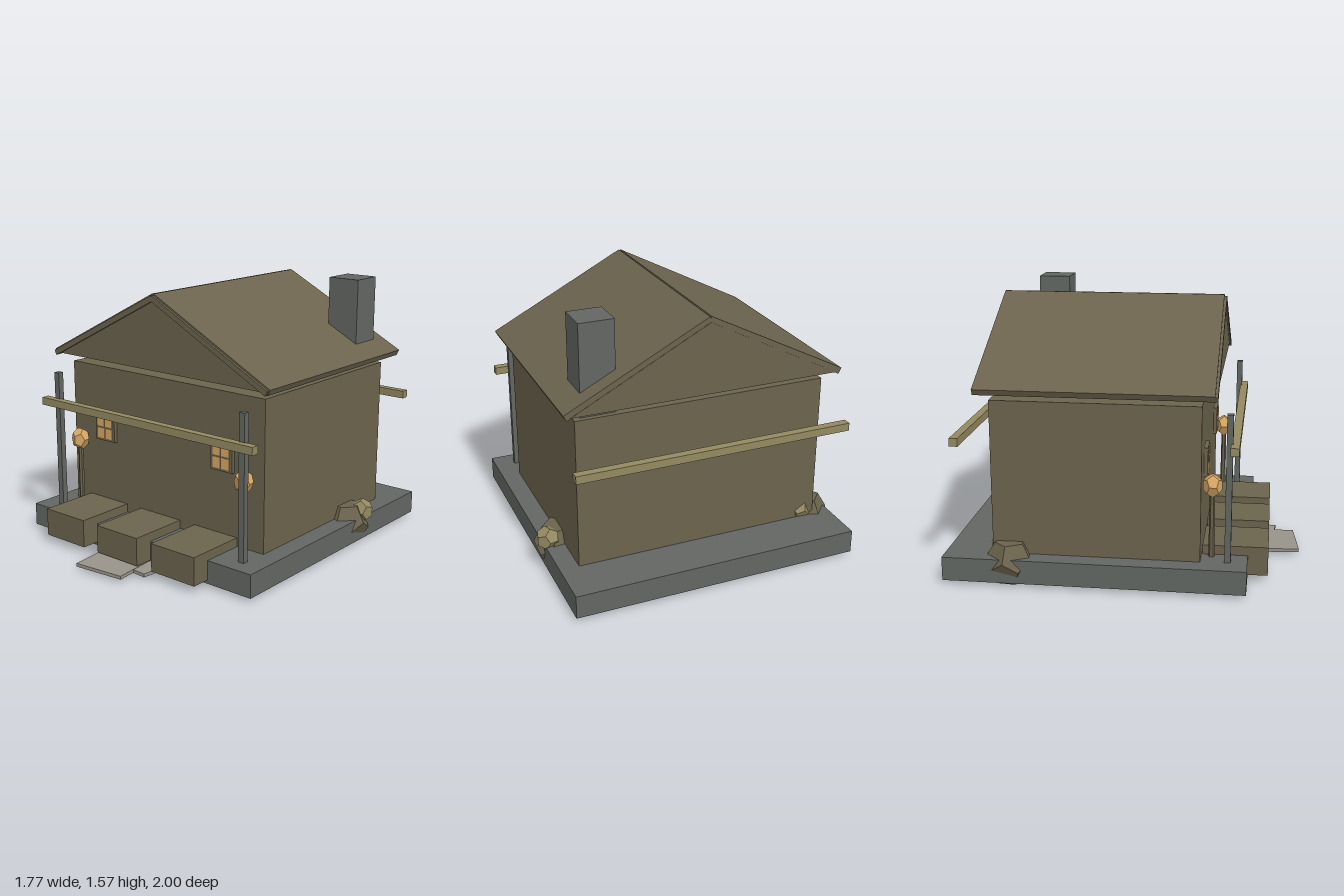
import * as THREE from 'three';

const mat = (name, color) => {
  const m = new THREE.MeshStandardMaterial({ color, flatShading: true });
  m.name = name;
  return m;
};

export function createModel() {
  const wood = mat('brown wood', 0x6b634d);
  const stone = mat('grey stone', 0x626661);
  const pale = mat('pale wood', 0x938960);
  const glow = mat('lamp amber', 0xd8a865);
  const paving = mat('pale paving', 0x98938a);

  const model = new THREE.Group();
  model.name = 'house';
  const CX = -0.007; // centre line of the house

  const add = (name, geometry, material, x = 0, y = 0, z = 0, parent = model) => {
    const mesh = new THREE.Mesh(geometry, material);
    mesh.name = name;
    mesh.position.set(x, y, z);
    parent.add(mesh);
    return mesh;
  };
  // box given by its limits on each axis
  const box = (name, material, x0, x1, y0, y1, z0, z1, parent) =>
    add(name, new THREE.BoxGeometry(x1 - x0, y1 - y0, z1 - z0), material,
      (x0 + x1) / 2, (y0 + y1) / 2, (z0 + z1) / 2, parent);

  // base and walls
  box('foundation', stone, -0.857, 0.843, 0.028, 0.165, -1, 0.7);
  box('walls', wood, -0.745, 0.731, 0.026, 1.05, -0.73, 0.44);

  // roof: two sloping slabs, front edge boards and thin gables
  const roof = new THREE.Group();
  roof.name = 'roof';
  roof.position.set(CX, 0, 0);
  model.add(roof);
  const slope = Math.atan2(0.422, 0.817);
  const slopedBoard = (name, side, length, thick, drop, z0, z1) => {
    const along = 0.46, down = drop + thick / 2;
    const board = add(name, new THREE.BoxGeometry(length, thick, z1 - z0), wood,
      side * (0.004 + Math.cos(slope) * along - Math.sin(slope) * down),
      1.548 - Math.sin(slope) * along - Math.cos(slope) * down,
      (z0 + z1) / 2, roof);
    board.rotation.z = -side * slope;
  };
  for (const side of [-1, 1]) {
    slopedBoard('roofSlab', side, 0.918, 0.038, 0, -0.8, 0.512);
    slopedBoard('edgeBoard', side, 0.91, 0.032, 0.009, 0.512, 0.527);
  }
  const triangle = new THREE.Shape();
  triangle.moveTo(-0.785, 1.107);
  triangle.lineTo(0.785, 1.107);
  triangle.lineTo(0, 1.515);
  triangle.closePath();
  const gable = new THREE.ExtrudeGeometry(triangle, { depth: 0.015, bevelEnabled: false });
  add('frontGable', gable, wood, 0, 0, 0.5, roof);
  add('backGable', gable, wood, 0, 0, -0.802, roof);

  box('chimney', stone, 0.488, 0.688, 1.0, 1.574, -0.7, -0.505);

  // porch posts, long rails
  for (const x of [-0.72, 0.704]) box('porchPost', stone, x - 0.019, x + 0.019, 0.1, 1.007, 0.573, 0.608);
  for (const z of [0.621, -0.916]) box('rail', pale, -0.816, 0.803, 0.8, 0.846, z - 0.024, z + 0.024);

  // windows with four lit panes
  for (const x of [-0.463, 0.446]) {
    const win = new THREE.Group();
    win.name = 'window';
    win.position.set(x, 0.678, 0);
    model.add(win);
    box('windowFrame', wood, -0.077, 0.077, -0.084, 0.084, 0.43, 0.463, win);
    for (const sx of [-1, 1]) for (const sy of [-1, 1])
      add('pane', new THREE.BoxGeometry(0.056, 0.064, 0.006), glow, sx * 0.032, sy * 0.037, 0.464, win);
  }

  // lamp posts with faceted lanterns, and small footings under the base
  for (const x of [-0.647, 0.633]) {
    add('lampPost', new THREE.CylinderGeometry(0.015, 0.018, 0.42, 6), wood, x, 0.34, 0.497);
    const lantern = add('lantern', new THREE.DodecahedronGeometry(0.06), glow, x, 0.582, 0.497);
    lantern.scale.set(0.92, 1.15, 0.95);
    lantern.rotation.y = 0.1;
    box('lampFooting', wood, x - 0.016, x + 0.016, 0.02, 0.06, 0.395, 0.427);
  }

  // three crates along the front
  for (const x of [-0.463, -0.035, 0.39]) box('crate', wood, x - 0.157, x + 0.157, 0.051, 0.218, 0.445, 0.814);

  // crooked paving slabs
  const paver = new THREE.BoxGeometry(0.32, 0.02, 0.32);
  add('pavingSlab', paver, paving, -0.035, 0.036, 0.82).rotation.y = 0.1;
  add('pavingSlab', paver, paving, 0.07, 0.034, 0.683).rotation.y = -0.08;

  // boulders at both sides, each with a smaller pale stone
  for (const [x, z, turn] of [[-0.75, -0.63, 0.2], [0.74, -0.375, 0.8]]) {
    const boulder = add('boulder', new THREE.DodecahedronGeometry(0.142), wood, x, 0.122, z);
    boulder.rotation.set(0.554, 0, 0); // rests on one flat face
    boulder.scale.y = 1.02;
    boulder.rotation.order = 'YXZ';
    boulder.rotation.y = turn;
    const small = add('smallStone', new THREE.DodecahedronGeometry(0.072), pale, x + 0.075, 0.196, z - 0.055);
    small.rotation.set(0.5, turn, 0.2);
  }

  return model;
}
